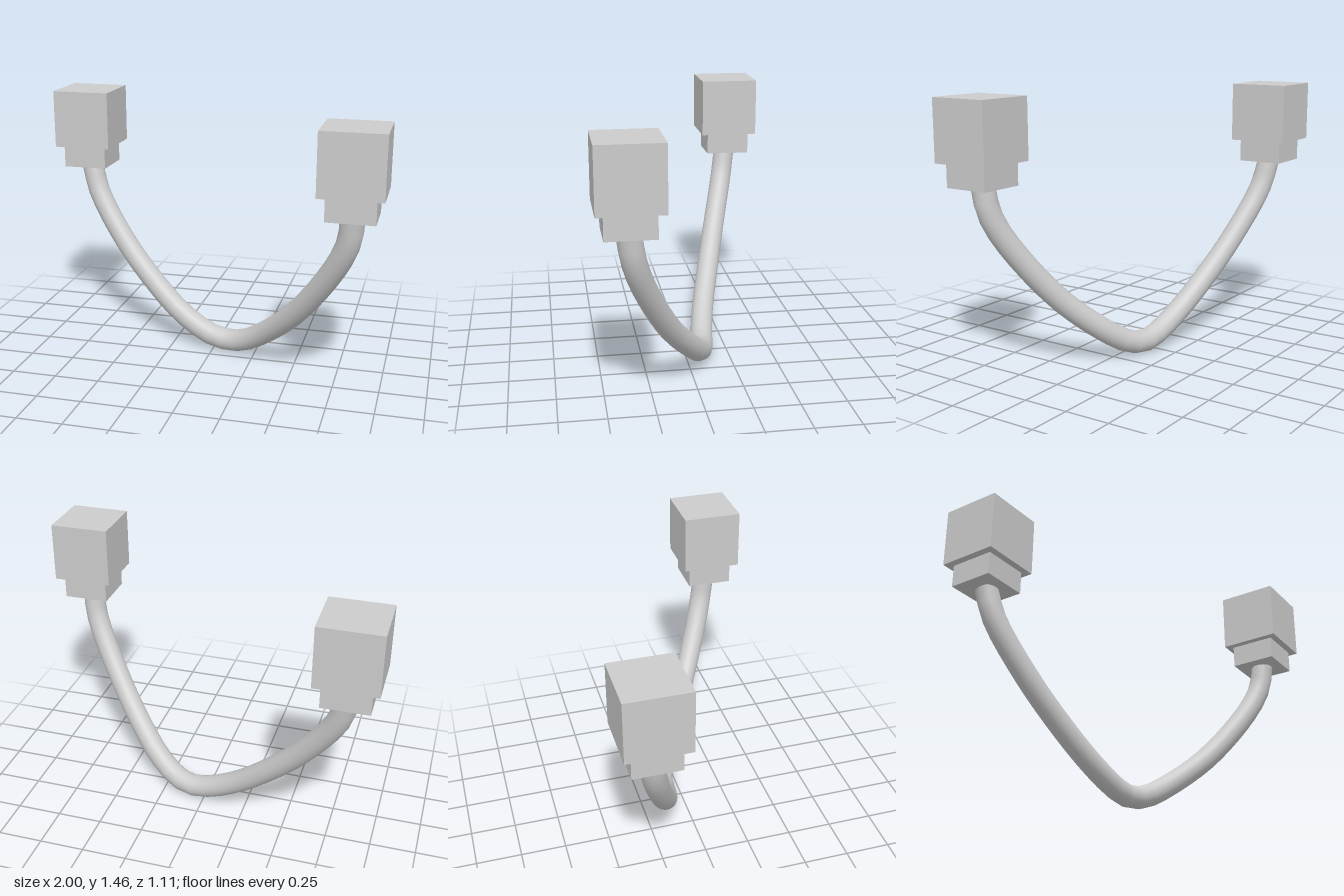
import * as THREE from 'three';

export function createModel() {
  const model = new THREE.Group();
  const grey = new THREE.MeshStandardMaterial({ color: 0xcccccc });

  const addMesh = (parent, name, geometry) => {
    const mesh = new THREE.Mesh(geometry, grey);
    mesh.name = name;
    parent.add(mesh);
    return mesh;
  };

  // Two plugs, each a cubic block with a smaller collar below
  for (const [name, side] of [['leftPlug', 1], ['rightPlug', -1]]) {
    const plug = new THREE.Group();
    plug.name = name;
    plug.position.set(0.835 * side, 0, 0.388 * side);
    addMesh(plug, 'block', new THREE.BoxGeometry(0.33, 0.33, 0.33)).position.y = 1.295;
    addMesh(plug, 'collar', new THREE.BoxGeometry(0.252, 0.126, 0.252)).position.y = 1.067;
    model.add(plug);
  }

  // Hanging cable that sags between the plugs
  const path = new THREE.CatmullRomCurve3([
    [-0.835, 1.01, -0.388], [-0.785, 0.84, -0.36], [-0.6, 0.565, -0.28],
    [-0.4, 0.35, -0.208], [-0.2, 0.18, -0.145], [-0.02, 0.083, -0.108],
    [0.09, 0.064, -0.092], [0.19, 0.087, -0.06], [0.32, 0.172, 0.005],
    [0.53, 0.38, 0.155], [0.75, 0.706, 0.315], [0.82, 0.87, 0.367],
    [0.835, 1.01, 0.388],
  ].map(p => new THREE.Vector3(...p)));
  addMesh(model, 'cable', new THREE.TubeGeometry(path, 32, 0.063, 24));

  return model;
}
